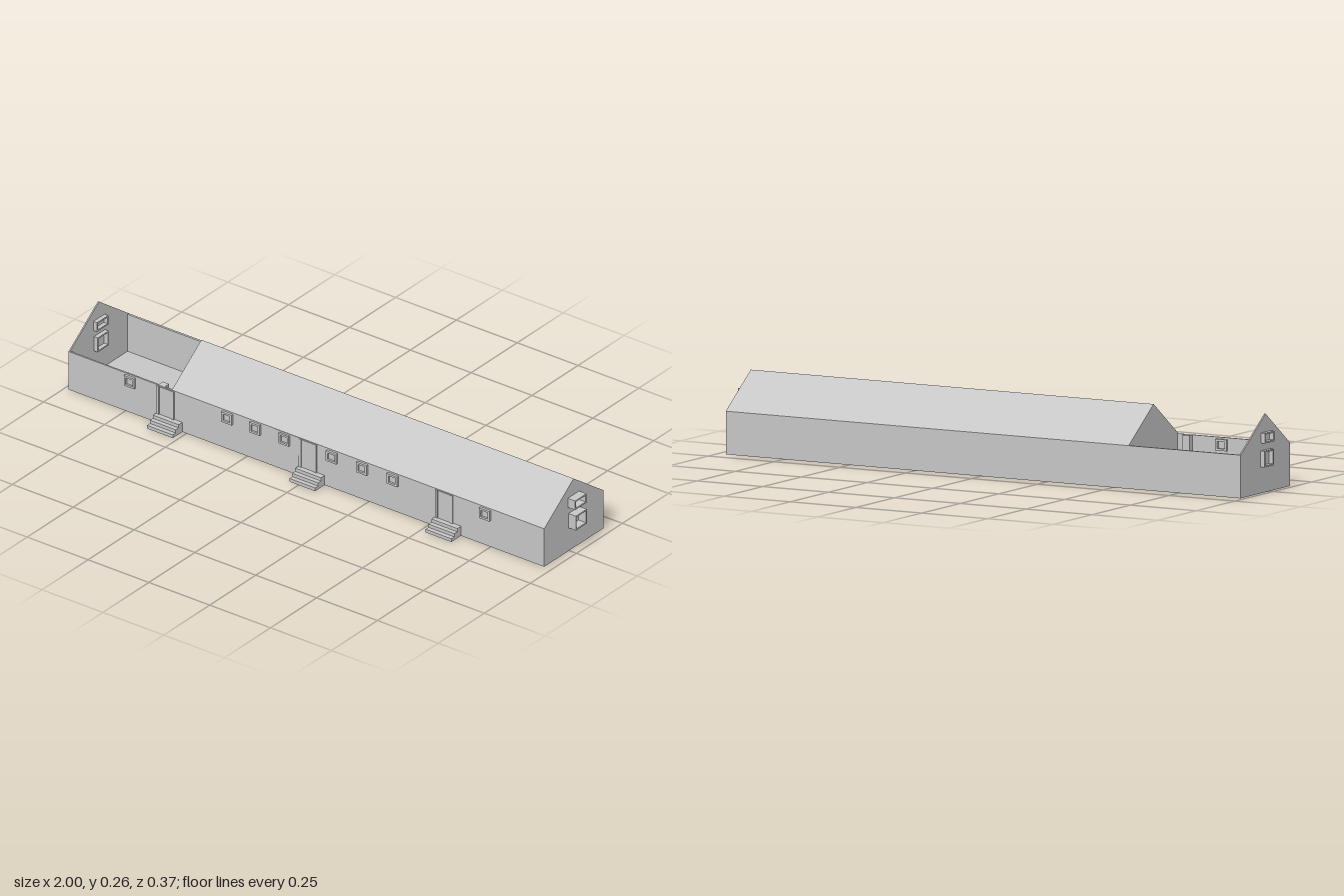
import * as THREE from 'three';

const FRONT = 0.135, BACK = -0.187, EAVE = 0.143, RIDGE = 0.26, RIDGE_Z = -0.025;
const LEFT = -0.985, SPLIT = -0.56, RIGHT = 0.97;

export function createModel() {
  const model = new THREE.Group();
  const grey = new THREE.MeshStandardMaterial({ color: 0xc6c6c6 });
  grey.name = 'plain grey';

  const add = (name, geometry, parent = model) => {
    const mesh = new THREE.Mesh(geometry, grey);
    mesh.name = name;
    parent.add(mesh);
    return mesh;
  };

  // Box given by its extents on each axis
  const box = (name, x0, x1, y0, y1, z0, z1, parent) => {
    const g = new THREE.BoxGeometry(x1 - x0, y1 - y0, z1 - z0);
    g.translate((x0 + x1) / 2, (y0 + y1) / 2, (z0 + z1) / 2);
    return add(name, g, parent);
  };

  // House-shaped cross-section pushed along x
  const gable = (name, x0, x1) => {
    const s = new THREE.Shape([
      [-FRONT, 0], [-BACK, 0], [-BACK, EAVE], [-RIDGE_Z, RIDGE], [-FRONT, EAVE],
    ].map(([x, y]) => new THREE.Vector2(x, y)));
    const g = new THREE.ExtrudeGeometry(s, { depth: x1 - x0, bevelEnabled: false });
    g.rotateY(Math.PI / 2).translate(x0, 0, 0);
    return add(name, g);
  };

  // Rectangular ring in the xy plane, extruded along z from 0
  const ring = (w, h, t, depth) => {
    const rect = (Path, a, b) => new Path([
      new THREE.Vector2(-a, -b), new THREE.Vector2(a, -b),
      new THREE.Vector2(a, b), new THREE.Vector2(-a, b),
    ]);
    const s = rect(THREE.Shape, w / 2, h / 2);
    s.holes.push(rect(THREE.Path, w / 2 - t, h / 2 - t));
    return new THREE.ExtrudeGeometry(s, { depth, bevelEnabled: false });
  };

  // Roofed hall and the roofless yard at its end
  gable('hall', SPLIT, RIGHT);
  gable('yardGable', LEFT, LEFT + 0.005);
  box('yardFloor', LEFT, SPLIT, 0, 0.004, BACK, FRONT);
  box('yardFrontWall', LEFT, SPLIT, 0, EAVE, FRONT - 0.006, FRONT);
  box('yardBackWall', LEFT, SPLIT, 0, EAVE, BACK, BACK + 0.008);

  // Front windows
  for (const x of [-0.73, -0.33, -0.215, -0.095, 0.1, 0.225, 0.35, 0.73]) {
    const win = new THREE.Group();
    win.name = 'frontWindow';
    win.position.set(x, 0.118, FRONT);
    model.add(win);
    add('windowFrame', ring(0.042, 0.038, 0.007, 0.009), win);
    box('windowPane', -0.015, 0.015, -0.013, 0.013, -0.002, 0.002, win);
    // Frame on the yard side
    if (x < SPLIT) add('innerFrame', ring(0.042, 0.038, 0.007, 0.009), win).position.z = -0.015;
  }
  box('windowSurround', -0.13, -0.035, 0.076, EAVE, FRONT, FRONT + 0.002);

  // Doors with their steps
  for (const x of [-0.57, 0.015, 0.575]) {
    const entry = new THREE.Group();
    entry.name = 'entrance';
    entry.position.x = x;
    model.add(entry);
    for (let i = 0; i < 3; i++) {
      box('step', -0.053, 0.053, i * 0.012, (i + 1) * 0.012, FRONT - 0.002, 0.187 - i * 0.016, entry);
    }
    box('doorPanel', -0.04, 0.012, 0.036, EAVE - 0.004, FRONT, FRONT + 0.002, entry);
    for (const px of [-0.05, 0.012]) {
      box('doorPost', px, px + 0.009, 0.036, EAVE - 0.002, FRONT, FRONT + 0.005, entry);
    }
  }
  box('yardDoorPost', -0.618, -0.592, 0.004, EAVE, 0.108, FRONT);

  // Deep-framed window pairs on both gables, open on the yard side too
  for (const side of [1, -1]) {
    for (const [z, y, w, h] of [[-0.027, 0.114, 0.06, 0.054], [-0.024, 0.183, 0.062, 0.034]]) {
      const frame = add('gableWindowFrame', ring(w, h, 0.005, 0.035));
      frame.rotation.y = side * Math.PI / 2;
      frame.position.set(side * 0.965, y, z);
    }
  }
  return model;
}
